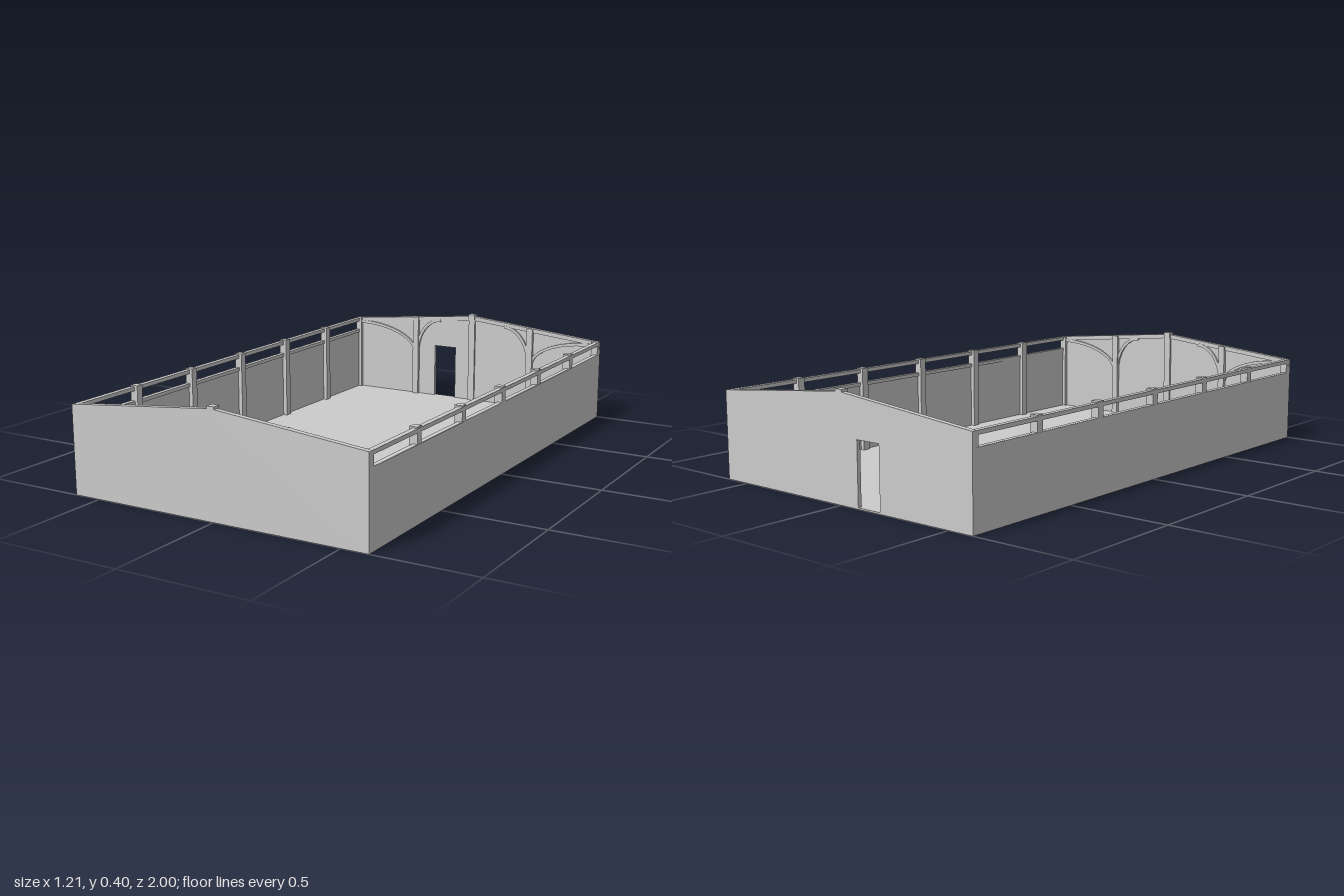
import * as THREE from 'three';

const W = 0.605, L = 1, EAVE = 0.335, RIDGE = 0.395, T = 0.015;
const roofY = x => RIDGE - (RIDGE - EAVE) * Math.abs(x) / W;

export function createModel() {
  const model = new THREE.Group();
  const mat = new THREE.MeshStandardMaterial({ color: 0xcccccc, flatShading: true, side: THREE.DoubleSide });

  const add = (parent, name, geo) => {
    const mesh = new THREE.Mesh(geo, mat);
    mesh.name = name;
    parent.add(mesh);
    return mesh;
  };
  // box given by its minimum and maximum corners
  const box = (parent, name, x0, x1, y0, y1, z0, z1) =>
    add(parent, name, new THREE.BoxGeometry(x1 - x0, y1 - y0, z1 - z0))
      .position.set((x0 + x1) / 2, (y0 + y1) / 2, (z0 + z1) / 2);
  // flat outline in x and y, extruded from z0 by depth
  const slab = (parent, name, pts, z0, depth) => {
    const shape = new THREE.Shape(pts.map(p => new THREE.Vector2(p[0], p[1])));
    add(parent, name, new THREE.ExtrudeGeometry(shape, { depth, bevelEnabled: false })).position.z = z0;
  };

  box(model, 'floor', -W, W, 0, 0.006, -L, L);

  // long walls with a strip of windows between the posts
  for (const s of [1, -1]) {
    const wall = new THREE.Group();
    wall.name = s > 0 ? 'leftWall' : 'rightWall';
    wall.rotation.y = s > 0 ? 0 : Math.PI;
    model.add(wall);
    box(wall, 'sidePanel', W - T, W, 0, 0.28, -L, L);
    box(wall, 'windowSill', W - 0.02, W - 0.001, 0.267, 0.281, -L + T, L - T);
    box(wall, 'topPlate', W - 0.02, W, 0.32, EAVE, -L, L);
    for (let i = -2; i <= 2; i++) {
      const z = i / 3;
      box(wall, 'sidePost', W - 0.032, W - 0.001, 0.006, 0.34, z - 0.015, z + 0.015);
    }
    for (const e of [1, -1]) {
      const z = e * (L - 0.0155);
      box(wall, 'cornerPost', W - 0.03, W - 0.001, 0.006, EAVE, z - 0.0145, z + 0.0145);
    }
  }

  // curved brace springing from a post up to the sloping rail
  const brace = (parent, x0, x1) => {
    const y0 = 0.2, y1 = roofY(x1) - 0.012, w = 0.013, n = 12;
    const arc = d => Array.from({ length: n + 1 }, (_, i) => {
      const a = i / n * Math.PI / 2, dir = Math.sign(x0 - x1);
      return [x1 + (x0 - x1 - dir * d) * Math.cos(a), y0 + (y1 - y0 - d) * Math.sin(a)];
    });
    slab(parent, 'curvedBrace', [...arc(0), ...arc(w).reverse()], -L + T, 0.009);
  };

  // gable ends, built at the back and turned round for the front
  for (const back of [true, false]) {
    const end = new THREE.Group();
    end.name = back ? 'backGable' : 'frontGable';
    end.rotation.y = back ? 0 : Math.PI;
    model.add(end);
    const door = back ? [[-0.19, 0], [-0.19, 0.24], [-0.085, 0.24], [-0.085, 0]] : [];
    slab(end, 'gableWall', [[-W, 0], ...door, [W, 0], [W, EAVE], [0, RIDGE], [-W, EAVE]], -L, T);
    slab(end, 'gableRail', [[-W, EAVE - 0.018], [0, RIDGE - 0.018], [W, EAVE - 0.018],
      [W, EAVE], [0, RIDGE], [-W, EAVE]], -L + T, 0.007);
    box(end, 'ridgePost', -0.015, 0.015, 0.006, RIDGE - 0.01, -L + 0.005, -L + 0.024);
    box(end, 'ridgeCap', -0.015, 0.015, RIDGE - 0.015, 0.403, -L, -L + 0.03);
    for (const s of [1, -1]) {
      const x = s * 0.285;
      box(end, 'gablePost', x - 0.014, x + 0.014, 0.006, roofY(x) - 0.002, -L + 0.005, -L + 0.029);
      brace(end, x, s * 0.575);
      brace(end, x, s * 0.16);
    }
  }
  return model;
}
